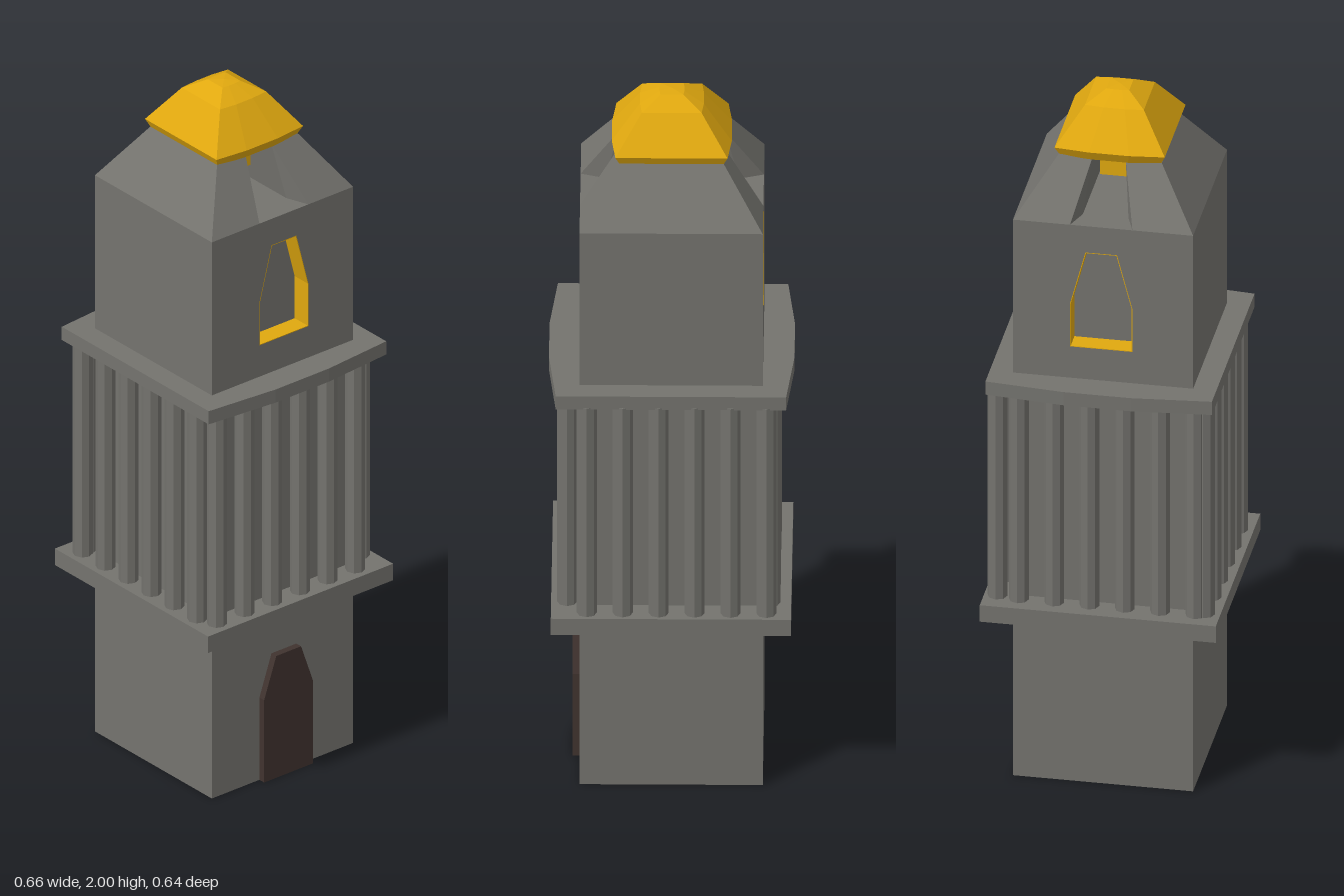
import * as THREE from 'three';
import { ConvexGeometry } from 'three/addons/geometries/ConvexGeometry.js';

const V = (x, y, z) => new THREE.Vector3(x, y, z);

// Pointed opening outline, shared by the door and the windows
function archPoints(bottom, shoulder, top, inset = 0) {
  const w = 0.085 - inset, t = 0.043 - inset * 0.8, c = 0.005;
  return [[-w, bottom + inset], [w, bottom + inset], [w, shoulder], [t, top - inset],
    [-t, top - inset], [-w, shoulder]].map(([x, y]) => new THREE.Vector2(x + c, y));
}

// Extrude a shape drawn in the side plane along x, starting at x0
function sideExtrude(shape, depth, x0) {
  const g = new THREE.ExtrudeGeometry(shape, { depth, bevelEnabled: false });
  return g.rotateY(Math.PI / 2).translate(x0, 0, 0);
}

// Square ring whose left and right sides bulge outwards
function bulgedRing(r, y, bulge, span) {
  const pts = [];
  for (const sx of [-1, 1]) for (const sz of [-1, 1]) {
    pts.push(V(sx * r, y, sz * r), V(sx * r * bulge, y, sz * r * span));
  }
  return pts;
}

export function createModel() {
  const model = new THREE.Group();
  const mat = (color) => new THREE.MeshStandardMaterial({ color, flatShading: true });
  const stone = mat(0x74736e), gold = mat(0xe0a80f), wood = mat(0x40332f);

  function add(name, geometry, material, parent = model) {
    const mesh = new THREE.Mesh(geometry, material);
    mesh.name = name;
    parent.add(mesh);
    return mesh;
  }
  const box = (w, y0, y1, d) => new THREE.BoxGeometry(w, y1 - y0, d).translate(0, (y0 + y1) / 2, 0);

  // Shaft, and the core of the window storey
  add('shaft', box(0.49, 0, 1.225, 0.49), stone);
  add('windowStoreyCore', box(0.38, 1.225, 1.69, 0.49), stone);

  // Window walls with recessed openings and gilded reveals
  for (const [side, x0] of [['left', 0.19], ['right', -0.245]]) {
    const wall = new THREE.Shape([[-0.245, 1.225], [0.245, 1.225], [0.245, 1.69], [-0.245, 1.69]]
      .map(([x, y]) => new THREE.Vector2(x, y)));
    wall.holes.push(new THREE.Path(archPoints(1.32, 1.45, 1.61)));
    add(side + 'WindowWall', sideExtrude(wall, 0.055, x0), stone);

    const reveal = new THREE.Shape(archPoints(1.32, 1.45, 1.61));
    reveal.holes.push(new THREE.Path(archPoints(1.32, 1.45, 1.61, 0.002)));
    add(side + 'WindowReveal', sideExtrude(reveal, 0.055, x0), gold);
  }

  // Door
  add('door', sideExtrude(new THREE.Shape(archPoints(0, 0.25, 0.37)), 0.025, 0.24), wood);

  // Lower and upper ledges
  add('lowerLedge', box(0.642, 0.5, 0.55, 0.642), stone);
  add('upperLedge', new ConvexGeometry([
    ...bulgedRing(0.308, 1.185, 1.065, 0.3), ...bulgedRing(0.308, 1.225, 1.065, 0.3)]), stone);

  // Colonnade around the shaft
  const colonnade = new THREE.Group();
  colonnade.name = 'colonnade';
  model.add(colonnade);
  const column = new THREE.CylinderGeometry(0.027, 0.027, 0.64, 8).translate(0, 0.87, 0);
  for (let i = 0; i < 6; i++) {
    const t = -0.255 + i * 0.096;
    add('backColumn', column, stone, colonnade).position.set(t, 0, -0.285);
    add('frontColumn', column, stone, colonnade).position.set(t, 0, 0.279);
    add('leftColumn', column, stone, colonnade).position.set(0.278, 0, -t);
    add('rightColumn', column, stone, colonnade).position.set(-0.265, 0, -t);
  }

  // Sloping roof in two halves, leaving an open passage from side to side
  for (const [name, s] of [['frontRoof', 1], ['backRoof', -1]]) {
    const pts = [];
    for (const x of [-1, 1]) {
      pts.push(V(x * 0.245, 1.69, s * 0.245), V(x * 0.14, 1.845, s * 0.14),
        V(x * 0.245, 1.69, s * 0.085 - 0.005), V(x * 0.14, 1.845, s * 0.045 - 0.003),
        V(x * 0.18, 1.69, s * 0.062 - 0.005));
    }
    add(name, new ConvexGeometry(pts), stone);
  }

  // Gilded block hanging in the passage, and the faceted cap
  add('hangingBlock', box(0.12, 1.75, 1.85, 0.085), gold);
  const layers = [[0.137, 1.84], [0.15, 1.868], [0.08, 1.968], [0.031, 1.997]];
  const cap = layers.flatMap(([r, y]) => bulgedRing(r, y, 1.07, 0.36));
  add('cap', new ConvexGeometry([...cap, V(0, 2, 0)]), gold);

  return model;
}
